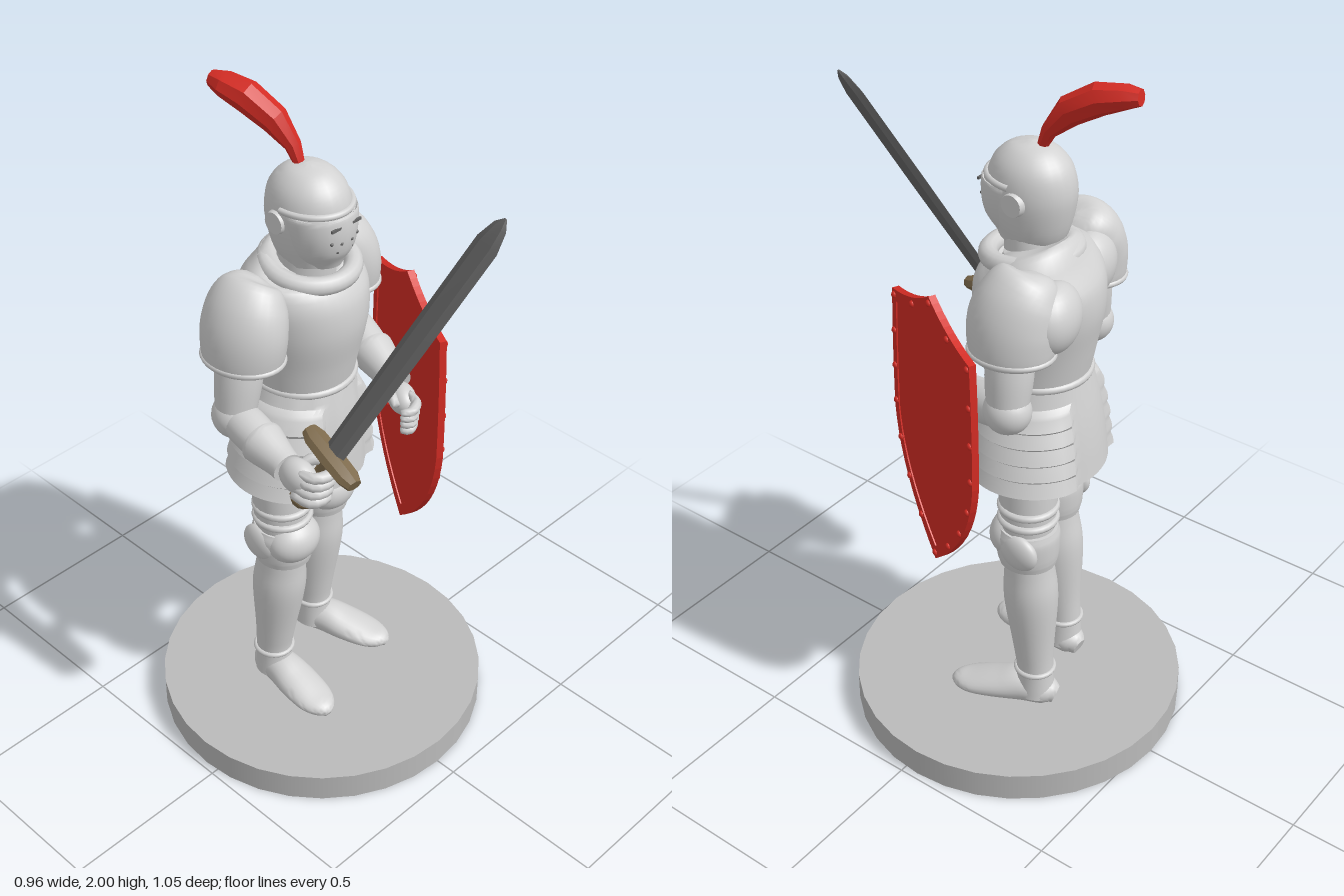
import * as THREE from 'three';
import { toCreasedNormals } from 'three/addons/utils/BufferGeometryUtils.js';

const paint = (name, color) => Object.assign(new THREE.MeshStandardMaterial({ color }), { name });
const V = (x, y, z) => new THREE.Vector3(x, y, z);

// Skin elliptical sections [x, y, z, a, b] along a path; "a" lies along ref
function loft(sections, { ref = V(1, 0, 0), seg = 24, steps = 5, crease = 0.7, mod } = {}) {
  const path = new THREE.CatmullRomCurve3(sections.map(s => V(s[0], s[1], s[2])), false, 'catmullrom', 0.5);
  const radii = new THREE.CatmullRomCurve3(sections.map(s => V(s[3], s[4] ?? s[3], 0)), false, 'catmullrom', 0.5);
  const rows = (sections.length - 1) * steps, pos = [], idx = [];
  for (let i = 0; i <= rows; i++) {
    const v = i / rows, c = path.getPoint(v), r = radii.getPoint(v), t = path.getTangent(v);
    const a = ref.clone().addScaledVector(t, -ref.dot(t)).normalize();
    const b = t.clone().cross(a);
    for (let j = 0; j < seg; j++) {
      const th = j / seg * Math.PI * 2, m = mod ? mod(th, v) : 1;
      const p = c.clone().addScaledVector(a, Math.cos(th) * r.x * m).addScaledVector(b, Math.sin(th) * r.y * m);
      pos.push(p.x, p.y, p.z);
      if (i < rows) {
        const k = i * seg, n = (j + 1) % seg;
        idx.push(k + j, k + n, k + seg + n, k + j, k + seg + n, k + seg + j);
      }
    }
  }
  const first = path.getPoint(0), last = path.getPoint(1), e = pos.length / 3, top = rows * seg;
  pos.push(first.x, first.y, first.z, last.x, last.y, last.z);
  for (let j = 0; j < seg; j++) {
    const n = (j + 1) % seg;
    idx.push(e, n, j, e + 1, top + j, top + n);
  }
  const g = new THREE.BufferGeometry();
  g.setAttribute('position', new THREE.Float32BufferAttribute(pos, 3));
  g.setIndex(idx);
  return toCreasedNormals(g, crease);
}

export function createModel() {
  const model = new THREE.Group();
  model.name = 'armouredKnight';
  const armor = paint('plate armour', 0xd2d2d2), stone = paint('base grey', 0xbababa);
  const steel = paint('dark steel', 0x666666), brass = paint('hilt brown', 0x7d6a4c), red = paint('red', 0xd42c24);

  const add = (name, geo, mat = armor, parent = model) => {
    const m = new THREE.Mesh(geo, mat);
    m.name = name;
    parent.add(m);
    return m;
  };
  const ball = (name, p, r, mat = armor) => {
    const m = add(name, new THREE.SphereGeometry(1, 28, 18), mat);
    m.position.set(...p);
    m.scale.set(...r);
    return m;
  };

  // Round base
  add('base', new THREE.CylinderGeometry(0.482, 0.482, 0.086, 32), stone).position.set(0, 0.043, -0.044);

  // Legs
  const leg = (side, hip, knee, ankle, heel, toe) => {
    const mix = (p, q, t) => p.map((n, i) => n + (q[i] - n) * t);
    add(side + 'Thigh', loft([[...hip, 0.085], [...mix(hip, knee, 0.6), 0.08], [...knee, 0.07]]));
    add(side + 'Greave', loft([[...knee, 0.066], [...mix(knee, ankle, 0.2), 0.07, 0.072], [...mix(knee, ankle, 0.42), 0.076, 0.078],
      [...mix(knee, ankle, 0.8), 0.059, 0.06], [...ankle, 0.052, 0.054], [ankle[0], 0.12, ankle[2], 0.055, 0.06]]));
    const [x, y, z] = knee;
    add(side + 'KneeBand', loft([[x, y - 0.06, z, 0.078, 0.082], [x, y - 0.03, z, 0.085, 0.088],
      [x, y + 0.03, z, 0.09, 0.09], [x, y + 0.06, z, 0.08, 0.084]], { crease: 0.5 }));
    ball(side + 'KneeCap', [x, y + 0.02, z + 0.04], [0.084, 0.07, 0.07]);
    ball(side + 'KneeWing', [x + Math.sign(x) * 0.07, y + 0.01, z - 0.02], [0.028, 0.055, 0.06]);
    for (const h of [0.09, 0.13]) {
      const ring = add(side + 'ThighPlate', new THREE.TorusGeometry(0.076, 0.011, 8, 28));
      ring.position.set(x, y + h, z);
      ring.rotation.x = Math.PI / 2;
    }
    const cuff = add(side + 'AnkleRing', new THREE.TorusGeometry(0.054, 0.008, 8, 24));
    cuff.position.set(...ankle);
    cuff.rotation.x = Math.PI / 2;
    // Armoured shoe, heel to toe, flat on the base
    const dir = V(toe[0] - heel[0], 0, toe[1] - heel[1]).normalize();
    const shape = [[0, 0.022, 0.03], [0.1, 0.046, 0.042], [0.32, 0.054, 0.052], [0.55, 0.062, 0.042], [0.8, 0.058, 0.029], [0.94, 0.038, 0.022], [1, 0.012, 0.012]];
    add(side + 'Shoe', loft(shape.map(([t, w, h]) =>
      [heel[0] + (toe[0] - heel[0]) * t, 0.084 + h, heel[1] + (toe[1] - heel[1]) * t, w, h]),
      { ref: V(dir.z, 0, -dir.x) }));
  };
  leg('right', [-0.135, 0.93, -0.07], [-0.137, 0.66, -0.06], [-0.14, 0.21, -0.105], [-0.135, -0.17], [-0.155, 0.14]);
  leg('left', [0.088, 0.93, -0.14], [0.1, 0.66, -0.15], [0.095, 0.21, -0.175], [0.075, -0.235], [0.185, 0.055]);

  // Skirt: smooth folds front and back, overlapping bands on the sides
  const lean = V(0.97, 0, -0.2).normalize();
  add('armourSkirt', loft([[-0.02, 0.87, -0.105, 0.2, 0.18], [-0.02, 0.97, -0.102, 0.19, 0.172], [-0.018, 1.07, -0.1, 0.172, 0.158], [-0.01, 1.18, -0.1, 0.14, 0.135]], {
    ref: lean, seg: 72, steps: 10, crease: 0.6,
    mod: (th, v) => {
      const c = Math.abs(Math.cos(th)), front = Math.max(0, -Math.sin(th));
      const fold = 1 + 0.012 * Math.cos(th * 14) * front;
      if (c < 0.52 || v > 0.83) return fold;
      return 1.06 + 0.075 * (1 - (v * 6) % 1) * Math.min(1, (c - 0.45) * 4);
    },
  }));
  const belt = add('belt', new THREE.TorusGeometry(0.138, 0.012, 8, 40));
  belt.position.set(-0.01, 1.17, -0.1);
  belt.rotation.x = Math.PI / 2;

  // Breastplate, collar and neck
  add('breastplate', loft([[-0.01, 1.15, -0.1, 0.14, 0.135], [-0.01, 1.25, -0.1, 0.155, 0.155], [-0.008, 1.36, -0.1, 0.178, 0.175],
    [-0.005, 1.45, -0.105, 0.188, 0.165], [0, 1.51, -0.105, 0.16, 0.12], [0, 1.54, -0.095, 0.1, 0.085]], { ref: lean, seg: 36 }));
  add('neck', loft([[-0.01, 1.48, -0.09, 0.085], [-0.015, 1.6, -0.07, 0.075]]));
  const collar = add('collar', new THREE.TorusGeometry(0.115, 0.026, 12, 40));
  collar.position.set(-0.002, 1.515, -0.08);
  collar.rotation.set(Math.PI / 2 + 0.12, 0, 0.2);

  // Helmet with visor, pivots and breathing holes
  const [hx, hy, hz] = [-0.015, 1.68, -0.068];
  add('helmet', loft([[hx, 1.54, hz + 0.01, 0.07, 0.085], [hx, 1.6, hz, 0.092, 0.11], [hx, 1.68, hz, 0.104, 0.124],
    [hx, 1.75, hz, 0.092, 0.109], [hx, 1.795, hz, 0.055, 0.065], [hx, 1.812, hz, 0.004, 0.005]], { crease: 1.2 }));
  add('visor', loft([[hx, 1.545, hz + 0.04, 0.05, 0.065], [hx, 1.59, hz + 0.035, 0.08, 0.092], [hx, 1.65, hz + 0.035, 0.098, 0.105],
    [hx, 1.7, hz + 0.03, 0.103, 0.105], [hx, 1.715, hz + 0.03, 0.095, 0.095]], { crease: 0.6 }));
  const brow = add('browBand', new THREE.TorusGeometry(0.106, 0.009, 8, 32, Math.PI));
  brow.position.set(hx, 1.715, hz);
  brow.scale.set(0.95, 1.14, 1);
  brow.rotation.x = Math.PI / 2;
  for (const s of [-1, 1]) {
    const pivot = add('visorPivot', new THREE.CylinderGeometry(0.03, 0.034, 0.016, 20));
    pivot.position.set(hx + s * 0.103, 1.675, hz - 0.015);
    pivot.rotation.z = -s * Math.PI / 2;
    add('eyeSlit', new THREE.BoxGeometry(0.034, 0.007, 0.006), steel).position.set(hx + s * 0.035, 1.685, hz + 0.133);
    for (const [dx, y, dz] of [[0.018, 1.64, 0.135], [0.045, 1.645, 0.127], [0.025, 1.615, 0.127]])
      ball('breathingHole', [hx + s * dx, y, hz + dz], [0.005, 0.005, 0.004], steel);
  }

  // Plume
  add('plume', loft([[-0.02, 1.79, -0.09, 0.013, 0.013], [-0.024, 1.845, -0.112, 0.022, 0.022], [-0.04, 1.905, -0.16, 0.036, 0.04],
    [-0.062, 1.95, -0.235, 0.041, 0.043], [-0.078, 1.967, -0.3, 0.037, 0.033], [-0.085, 1.972, -0.338, 0.022, 0.022]],
    { seg: 8, steps: 1, crease: 0.3 }), red);

  // Shoulder plates
  for (const [side, s, x, z] of [['right', -1, -0.238, -0.075], ['left', 1, 0.186, -0.165]]) {
    const twist = V(0.96, 0, -0.25).normalize();
    add(side + 'Pauldron', loft([[x + s * 0.012, 1.325, z, 0.088, 0.108], [x + s * 0.012, 1.35, z, 0.095, 0.115], [x + s * 0.005, 1.42, z, 0.095, 0.12],
      [x - s * 0.02, 1.485, z - 0.01, 0.088, 0.108], [x - s * 0.05, 1.525, z - 0.02, 0.062, 0.075], [x - s * 0.06, 1.54, z - 0.02, 0.008, 0.01]],
      { ref: twist, seg: 32, crease: 1 }));
    const rim = add(side + 'PauldronRim', new THREE.TorusGeometry(1, 0.09, 8, 36));
    rim.position.set(x + s * 0.012, 1.338, z);
    rim.scale.set(0.09, 0.11, 0.1);
    rim.rotation.set(Math.PI / 2, 0, -0.25);
    ball(side + 'BackPlate', [x - s * 0.07, 1.42, z - 0.07], [0.1, 0.095, 0.07]).rotation.y = 0.25;
  }

  // Arms, gauntlet cuffs and hands
  const arm = (side, shoulder, elbow, wrist) => {
    const mix = t => elbow.map((n, i) => n + (wrist[i] - n) * t);
    const d = V(...wrist).sub(V(...elbow)).normalize(), ref = V(d.z, 0, -d.x).normalize();
    add(side + 'UpperArm', loft([[...shoulder, 0.062], [...shoulder.map((n, i) => (n + elbow[i]) / 2), 0.064], [...elbow, 0.054]]));
    ball(side + 'ElbowCap', elbow, [0.062, 0.064, 0.066]);
    add(side + 'Forearm', loft([[...elbow, 0.05], [...mix(0.35), 0.055], [...wrist, 0.04]], { ref }));
    add(side + 'Cuff', loft([[...mix(0.5), 0.06], [...mix(0.56), 0.06], [...mix(0.85), 0.046], [...wrist, 0.042]], { ref }));
  };
  arm('right', [-0.248, 1.38, -0.08], [-0.285, 1.165, -0.075], [-0.315, 1.13, 0.15]);
  arm('left', [0.205, 1.38, -0.17], [0.235, 1.18, -0.18], [0.17, 1.11, 0.085]);
  const finger = (name, pts, r) => add(name, loft(pts.map((p, i) => [...p, i === 0 || i === pts.length - 1 ? r * 0.6 : r]), { ref: V(0.3, 0.9, 0.2), seg: 10, steps: 3, crease: 1.5 }));
  ball('rightPalm', [-0.315, 1.125, 0.19], [0.04, 0.05, 0.06]);
  ball('leftPalm', [0.145, 1.095, 0.125], [0.038, 0.042, 0.055]).rotation.y = -0.5;
  for (let k = 0; k < 4; k++) {
    const y = 1.155 - k * 0.022, x = -0.006 * k;
    finger('rightFinger', [[-0.33 + x, y, 0.2], [-0.32 + x, y, 0.255], [-0.275 + x, y, 0.268], [-0.245 + x, y, 0.235]], 0.016);
    const ly = 1.122 - k * 0.019;
    finger('leftFinger', [[0.15, ly, 0.14], [0.13 - k * 0.004, ly, 0.19], [0.095 - k * 0.002, ly - 0.004, 0.205], [0.07, ly - 0.004, 0.19]], 0.014);
  }
  finger('rightThumb', [[-0.3, 1.15, 0.18], [-0.265, 1.16, 0.2], [-0.245, 1.155, 0.235]], 0.017);
  finger('leftThumb', [[0.13, 1.12, 0.1], [0.095, 1.13, 0.13], [0.08, 1.125, 0.165]], 0.016);

  // Sword
  const guard = V(-0.25, 1.18, 0.245), dir = V(0.05, 1.865, 0.515).sub(guard), length = dir.length();
  dir.normalize();
  const along = (t, ...r) => [...guard.clone().addScaledVector(dir, t).toArray(), ...r];
  const flat = V(0, 0, 1).addScaledVector(dir, -dir.z).normalize();
  add('blade', loft([along(0, 0.033, 0.012), along(length * 0.5, 0.037, 0.013), along(length * 0.9, 0.037, 0.012),
    along(length * 0.97, 0.022, 0.009), along(length, 0.004, 0.003)], { ref: flat, seg: 6, steps: 1, crease: 0.3 }), steel);
  const end = t => guard.clone().addScaledVector(flat, t).toArray();
  add('crossguard', loft([[...end(-0.1), 0.022, 0.018], [...end(-0.07), 0.034, 0.022], [...end(0), 0.036, 0.024], [...end(0.07), 0.034, 0.022], [...end(0.1), 0.022, 0.018]],
    { seg: 8, steps: 1, crease: 0.4 }), brass);
  add('grip', loft([along(-0.13, 0.02), along(0, 0.02)], { ref: flat, seg: 10, steps: 1 }), brass);
  add('pommel', loft([along(-0.17, 0.022), along(-0.155, 0.034), along(-0.13, 0.034), along(-0.12, 0.022)], { ref: flat, seg: 8, steps: 1, crease: 0.4 }), brass);

  // Shield with raised rim, rivets and grip
  const shield = new THREE.Group();
  shield.name = 'shield';
  shield.position.set(0.237, 1.03, 0.06);
  shield.rotation.y = 1.146;
  model.add(shield);
  const outline = k => {
    const s = new THREE.Shape();
    s.moveTo(0, 0.405 * k);
    s.quadraticCurveTo(-0.1 * k, 0.335 * k, -0.222 * k, 0.318 * k);
    s.quadraticCurveTo(-0.235 * k, 0.12 * k, -0.232 * k, -0.06 * k);
    s.quadraticCurveTo(-0.21 * k, -0.27 * k, 0, -0.445 * k);
    s.quadraticCurveTo(0.21 * k, -0.27 * k, 0.232 * k, -0.06 * k);
    s.quadraticCurveTo(0.235 * k, 0.12 * k, 0.222 * k, 0.318 * k);
    s.quadraticCurveTo(0.1 * k, 0.335 * k, 0, 0.405 * k);
    return s;
  };
  const slab = (shape, depth) => new THREE.ExtrudeGeometry(shape, { depth, bevelEnabled: false, curveSegments: 10 });
  add('shieldPlate', slab(outline(0.95), 0.012), red, shield).position.z = -0.006;
  const rimShape = outline(1);
  rimShape.holes.push(outline(0.9));
  add('shieldRim', slab(rimShape, 0.02), red, shield).position.z = -0.01;
  for (const p of outline(0.95).getSpacedPoints(18).slice(0, 18)) {
    const rivet = add('rivet', new THREE.SphereGeometry(0.01, 10, 8), red, shield);
    rivet.position.set(p.x, p.y, 0.01);
    rivet.scale.z = 0.8;
  }
  add('shieldGrip', new THREE.BoxGeometry(0.025, 0.13, 0.02), red, shield).position.set(0, 0.05, -0.055);
  for (const y of [-0.005, 0.105])
    add('gripPost', new THREE.BoxGeometry(0.025, 0.02, 0.055), red, shield).position.set(0, y, -0.032);

  return model;
}
